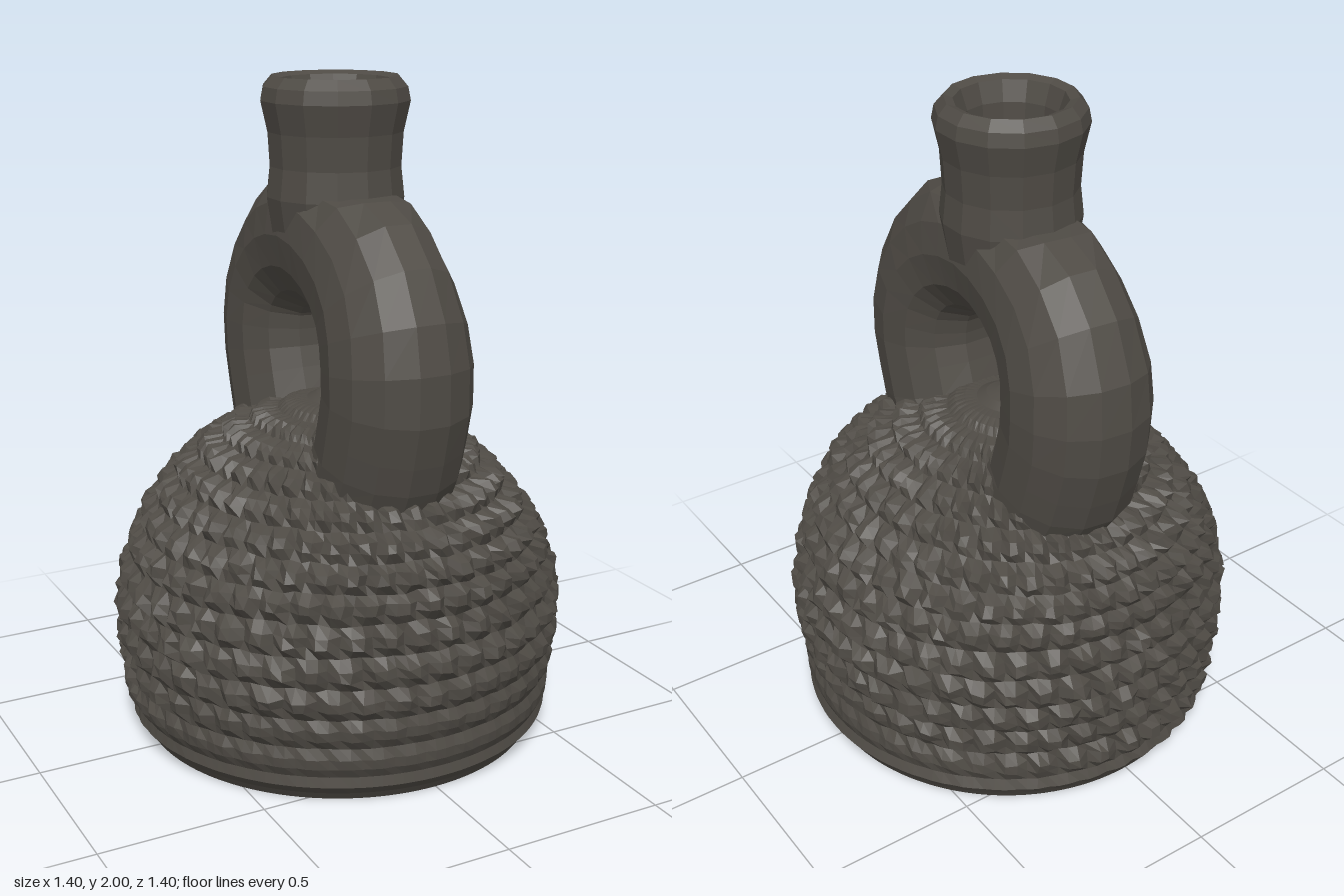
import * as THREE from 'three';

const V2 = (p) => new THREE.Vector2(p[0], p[1]);
const { smoothstep } = THREE.MathUtils;

// Body profile: radius, height
const PROFILE = [[0.615, 0], [0.645, 0.06], [0.66, 0.2], [0.672, 0.32], [0.665, 0.45], [0.63, 0.58],
  [0.565, 0.69], [0.465, 0.81], [0.37, 0.89], [0.26, 0.96], [0.12, 1.02], [0, 1.055]];

// Shoulders are drawn out towards the two legs of the stirrup
const stretch = (y) => 1 + 0.14 * smoothstep(y, 0.5, 0.8);

// Height of the upper body surface at a given place
function surfaceY(x, z) {
  const r = Math.hypot(x, z / 1.14);
  for (let i = PROFILE.length - 1; i > 4; i--) {
    const [r1, y1] = PROFILE[i], [r0, y0] = PROFILE[i - 1];
    if (r <= r0) return y1 + (y0 - y1) * (r - r1) / (r0 - r1);
  }
  return 0.45;
}

function seeded(seed) {
  return () => {
    seed = (seed * 16807) % 2147483647;
    return seed / 2147483647;
  };
}

// Round body with staggered rows of blunt knobs, open underneath
function bodyGeometry() {
  const rows = 45, cols = 132, rnd = seeded(41);
  const pts = new THREE.SplineCurve(PROFILE.map(V2)).getSpacedPoints(rows);
  const geo = new THREE.LatheGeometry(pts, cols);
  const pos = geo.attributes.position;
  for (let j = 0; j <= rows; j++) {
    const { x: r, y } = pts[j];
    const band = Math.floor(j / 3);
    let first = null;
    for (let i = 0; i <= cols; i++) {
      const k = i * (rows + 1) + j;
      if (i === cols) {
        pos.setXYZ(k, ...first); // close the seam
        break;
      }
      let a = (i / cols) * Math.PI * 2;
      // knobs fade at the foot, most of all at the front, and near the crown
      const front = 0.5 + 0.5 * Math.cos(a - 0.4);
      const fade = smoothstep(y, 0.02, 0.1 + 0.45 * front) * smoothstep(r, 0.08, 0.35);
      const raised = j % 3 !== 0 && (i + band * 2) % 3 !== 0;
      const knob = raised ? 0.02 + 0.012 * rnd() : 0;
      const ripple = j % 3 !== 0 && y > 0.05 ? 0.012 : 0;
      const out = fade * knob + (1 - fade) * ripple + 0.01 * fade * (rnd() - 0.5);
      a += fade * 0.016 * (rnd() - 0.5);
      // the foot is steeper towards the back and the left
      const foot = 0.035 * (1 - smoothstep(y, 0, 0.2)) * Math.max(0, Math.cos(a - 2.4));
      const rr = r > 0.001 ? r + foot + out * Math.min(1, r / 0.3) : 0;
      const h = j === 0 ? 0 : y + out * Math.max(0, y - 0.45) + fade * 0.01 * (rnd() - 0.5);
      const p = [Math.sin(a) * rr, h, Math.cos(a) * rr * stretch(y)];
      if (i === 0) first = p;
      pos.setXYZ(k, ...p);
    }
  }
  geo.computeVertexNormals();
  return geo;
}

// Arched double leg, trimmed to sit on the body and under the spout
function stirrupGeometry() {
  const path = new THREE.CatmullRomCurve3([
    [-0.01, 0.76, 0.275], [-0.01, 0.98, 0.345], [-0.01, 1.15, 0.385], [-0.01, 1.34, 0.345],
    [-0.01, 1.47, 0.22], [0, 1.535, -0.01], [0.02, 1.475, -0.24], [0.03, 1.34, -0.365],
    [0.03, 1.15, -0.385], [0.03, 0.98, -0.34], [0.03, 0.76, -0.265],
  ].map((p) => new THREE.Vector3(...p)));
  const geo = new THREE.TubeGeometry(path, 22, 0.218, 14);
  const pos = geo.attributes.position;
  for (let i = 0; i < pos.count; i++) {
    const x = pos.getX(i), y = pos.getY(i);
    pos.setX(i, x * (1 - 0.13 * smoothstep(y, 1.2, 1.55))); // slimmer towards the top
    pos.setY(i, Math.min(1.665, Math.max(surfaceY(x, pos.getZ(i)) - 0.01, y)));
  }
  geo.computeVertexNormals();
  return geo;
}

export function createModel() {
  const clay = new THREE.MeshStandardMaterial({ color: 0x4f4b45, flatShading: true, side: THREE.DoubleSide });
  clay.name = 'darkClay';
  const group = new THREE.Group();
  group.name = 'stirrupVessel';
  const add = (name, geo) => {
    const mesh = new THREE.Mesh(geo, clay);
    mesh.name = name;
    group.add(mesh);
    return mesh;
  };

  add('body', bodyGeometry());
  add('stirrupHandle', stirrupGeometry());

  // Flared spout with a hollow mouth
  const spout = [[0.185, 1.5], [0.208, 1.65], [0.198, 1.74], [0.204, 1.84], [0.224, 1.93], [0.216, 1.97],
    [0.19, 2], [0.163, 1.99], [0.142, 1.93], [0.135, 1.8], [0.09, 1.68], [0, 1.675]].map(V2);
  add('spout', new THREE.LatheGeometry(spout, 14)).position.set(0.002, 0, -0.02);

  return group;
}
